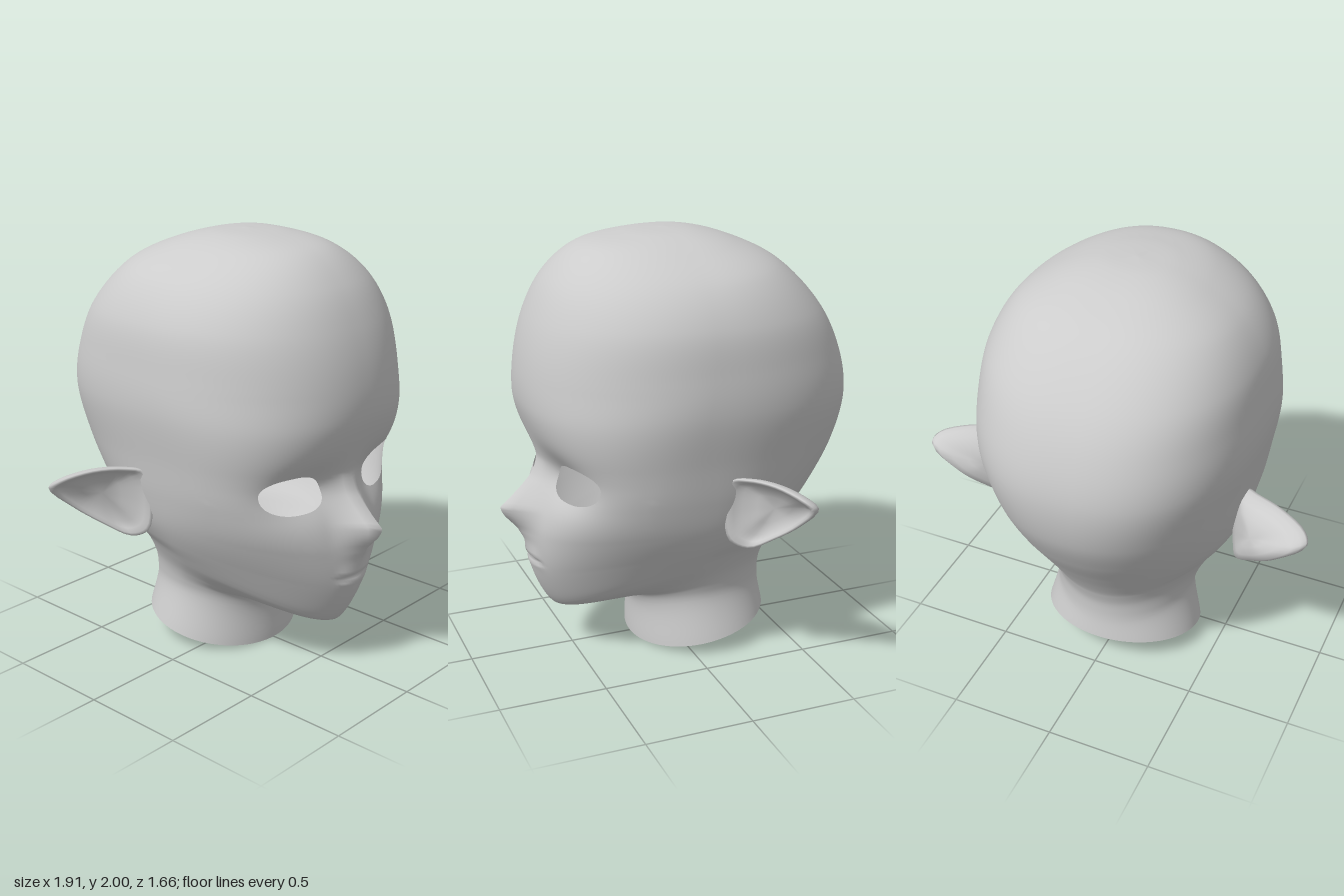
import * as THREE from 'three';
import { mergeVertices } from 'three/addons/utils/BufferGeometryUtils.js';

const V = (x, y, z) => new THREE.Vector3(x, y, z);
const bell = (t) => Math.exp(-t * t);
const { smoothstep } = THREE.MathUtils;

// Cuts a polygon where field(p) < 0
function clip(poly, field) {
  const out = [];
  poly.forEach((p, i) => {
    const q = poly[(i + 1) % poly.length];
    const a = field(p), b = field(q);
    if (a >= 0) out.push(p);
    if ((a < 0) !== (b < 0)) out.push(p.clone().lerp(q, a / (a - b)));
  });
  return out;
}

// Skins rows of closed loops, optionally cut by a field
function skin(rows, field) {
  const pos = [];
  const n = rows[0].length;
  for (let i = 0; i < rows.length - 1; i++) {
    for (let j = 0; j < n; j++) {
      const k = (j + 1) % n;
      const a = rows[i][j], b = rows[i + 1][j], c = rows[i + 1][k], d = rows[i][k];
      for (const tri of [[a, b, c], [a, c, d]]) {
        const poly = field ? clip(tri, field) : tri;
        for (let m = 1; m < poly.length - 1; m++) {
          for (const p of [poly[0], poly[m], poly[m + 1]]) pos.push(p.x, p.y, p.z);
        }
      }
    }
  }
  let geo = new THREE.BufferGeometry();
  geo.setAttribute('position', new THREE.Float32BufferAttribute(pos, 3));
  geo = mergeVertices(geo, 1e-4);
  geo.computeVertexNormals();
  return geo;
}

// Head rings from crown over jaw to neck: front z,y | side x,y,z | back z,y
const RINGS = [
  [0.02, 2.0, 0, 2.0, 0.02, 0.02, 2.0],
  [0.22, 1.985, 0.18, 1.985, 0.03, -0.12, 1.99],
  [0.43, 1.935, 0.34, 1.93, 0.02, -0.28, 1.95],
  [0.57, 1.81, 0.51, 1.815, 0, -0.48, 1.855],
  [0.66, 1.64, 0.61, 1.65, 0, -0.68, 1.65],
  [0.712, 1.44, 0.643, 1.45, 0.01, -0.785, 1.45],
  [0.72, 1.25, 0.65, 1.27, 0.03, -0.832, 1.23],
  [0.665, 1.02, 0.615, 1.03, 0.04, -0.8, 1.0],
  [0.665, 0.82, 0.588, 0.86, 0.02, -0.71, 0.81],
  [0.7, 0.62, 0.55, 0.71, 0, -0.6, 0.64],
  [0.69, 0.43, 0.5, 0.6, 0, -0.53, 0.53],
  [0.61, 0.255, 0.45, 0.52, 0, -0.485, 0.45],
  [0.565, 0.22, 0.425, 0.48, -0.01, -0.473, 0.42],
  [0.33, 0.235, 0.375, 0.4, -0.05, -0.455, 0.36],
  [0.24, 0.25, 0.352, 0.34, -0.08, -0.45, 0.3],
  [0.205, 0.2, 0.345, 0.28, -0.1, -0.452, 0.24],
  [0.2, 0, 0.39, 0.08, -0.13, -0.467, 0.14],
];

// Section roundness by height: round forehead, flat eye band, pointed jaw, round neck
const frontRoundness = (y) => 1.6 + 0.95 * smoothstep(y, 0.5, 0.95)
  - 0.35 * smoothstep(y, 1.05, 1.4) + 0.4 * smoothstep(0.5 - y, 0, 0.25);
const backRoundness = (y) => 2 + 0.45 * smoothstep(y, 0.6, 1.4);

// Nose projection down the centre line: y, height
const NOSE = [[0.98, 0], [0.89, 0.04], [0.83, 0.085], [0.75, 0.158], [0.71, 0.13], [0.64, 0.055], [0.58, 0.02], [0.52, 0]];
function noseHeight(y) {
  for (let i = 0; i < NOSE.length - 1; i++) {
    const [y0, h0] = NOSE[i], [y1, h1] = NOSE[i + 1];
    if (y <= y0 && y >= y1) return h0 + (h1 - h0) * (y0 - y) / (y0 - y1);
  }
  return 0;
}

// Sockets, nose, lips and mouth crease pushed into the face
function sculpt(p) {
  if (p.z < 0.3) return p;
  const ax = Math.abs(p.x), y = p.y;
  const mouth = smoothstep(0.13 - ax, 0, 0.05);
  p.z -= 0.075 * bell((ax - 0.24) / 0.2) * bell((y - 0.93) / 0.11);
  p.z += noseHeight(y) * Math.max(0, 1 - ax / 0.17) ** 1.9;
  p.z += mouth * (0.01 * bell((y - 0.5) / 0.045) - 0.02 * bell((y - 0.488) / 0.012));
  return p;
}

// Negative inside either almond-shaped eye opening
function eyeField(p) {
  if (p.z < 0.2) return 1;
  const ey = p.y - 0.925;
  const ex = Math.abs(p.x) - 0.3 - 0.3 * ey;
  return (Math.abs(ex / 0.149) ** 2.4 + Math.abs(ey / 0.09) ** 2.4) ** (1 / 2.4) - 1;
}

function headGeometry() {
  const path = (f) => new THREE.CatmullRomCurve3(RINGS.map(f));
  const front = path((r) => V(0, r[1], r[0]));
  const side = path((r) => V(r[2], r[3], r[4]));
  const back = path((r) => V(0, r[6], r[5]));
  const N = 192, M = 120, rows = [];
  for (let i = 0; i <= N; i++) {
    const f = front.getPoint(i / N), s = side.getPoint(i / N), b = back.getPoint(i / N);
    const row = [];
    for (let j = 0; j < M; j++) {
      const t = (j / M) * 2 * Math.PI - Math.PI;
      const a = t - 0.3 * Math.sin(t); // denser columns on the face
      const sn = Math.sin(a), cs = Math.cos(a);
      const e = 2 / (cs > 0 ? frontRoundness(s.y) : backRoundness(s.y));
      const w = Math.sign(cs) * Math.abs(cs) ** e;
      // ring height follows a parabola through back, side and front
      const y = s.y + w * (f.y - b.y) / 2 + w * w * ((f.y + b.y) / 2 - s.y);
      const z = s.z + w * (cs > 0 ? f.z - s.z : s.z - b.z);
      row.push(sculpt(V(Math.sign(sn) * s.x * Math.abs(sn) ** e, y, z)));
    }
    rows.push(row);
  }
  return skin(rows, eyeField);
}

// Pointed ear: rim outline, then layers from the bowl over the rim to the back
const EAR_RIM = [
  [0.59, 0.96, -0.06], [0.66, 0.985, -0.11], [0.8, 0.995, -0.18], [0.93, 0.965, -0.25],
  [0.955, 0.925, -0.29], [0.84, 0.81, -0.28], [0.72, 0.71, -0.22], [0.61, 0.635, -0.14],
  [0.57, 0.67, -0.07], [0.56, 0.8, -0.05],
];
const EAR_LAYERS = [ // share of rim, depth
  [0, 0.065], [0.4, 0.058], [0.7, 0.04], [0.84, 0.018], [0.93, -0.002],
  [1, 0], [1.01, 0.015], [0.97, 0.04], [0.86, 0.07], [0.6, 0.095], [0.3, 0.106], [0, 0.11],
];
function earGeometry(sideSign) {
  const pts = EAR_RIM.map(([x, y, z]) => V(x * sideSign, y, z));
  if (sideSign > 0) pts.reverse();
  const rim = new THREE.CatmullRomCurve3(pts, true).getPoints(40).slice(0, -1);
  const mid = V(0.73 * sideSign, 0.85, -0.17);
  const inward = V(-0.45 * sideSign, 0, -0.9);
  return skin(EAR_LAYERS.map(([share, depth]) =>
    rim.map((p) => mid.clone().lerp(p, share).addScaledVector(inward, depth))));
}

export function createModel() {
  const group = new THREE.Group();
  group.name = 'elfHead';
  const skinGrey = new THREE.MeshStandardMaterial({ color: 0xcccccc, side: THREE.DoubleSide });
  skinGrey.name = 'skin grey';
  const add = (name, geo) => {
    const mesh = new THREE.Mesh(geo, skinGrey);
    mesh.name = name;
    group.add(mesh);
  };
  add('headAndNeck', headGeometry());
  add('leftEar', earGeometry(1));
  add('rightEar', earGeometry(-1));
  return group;
}
